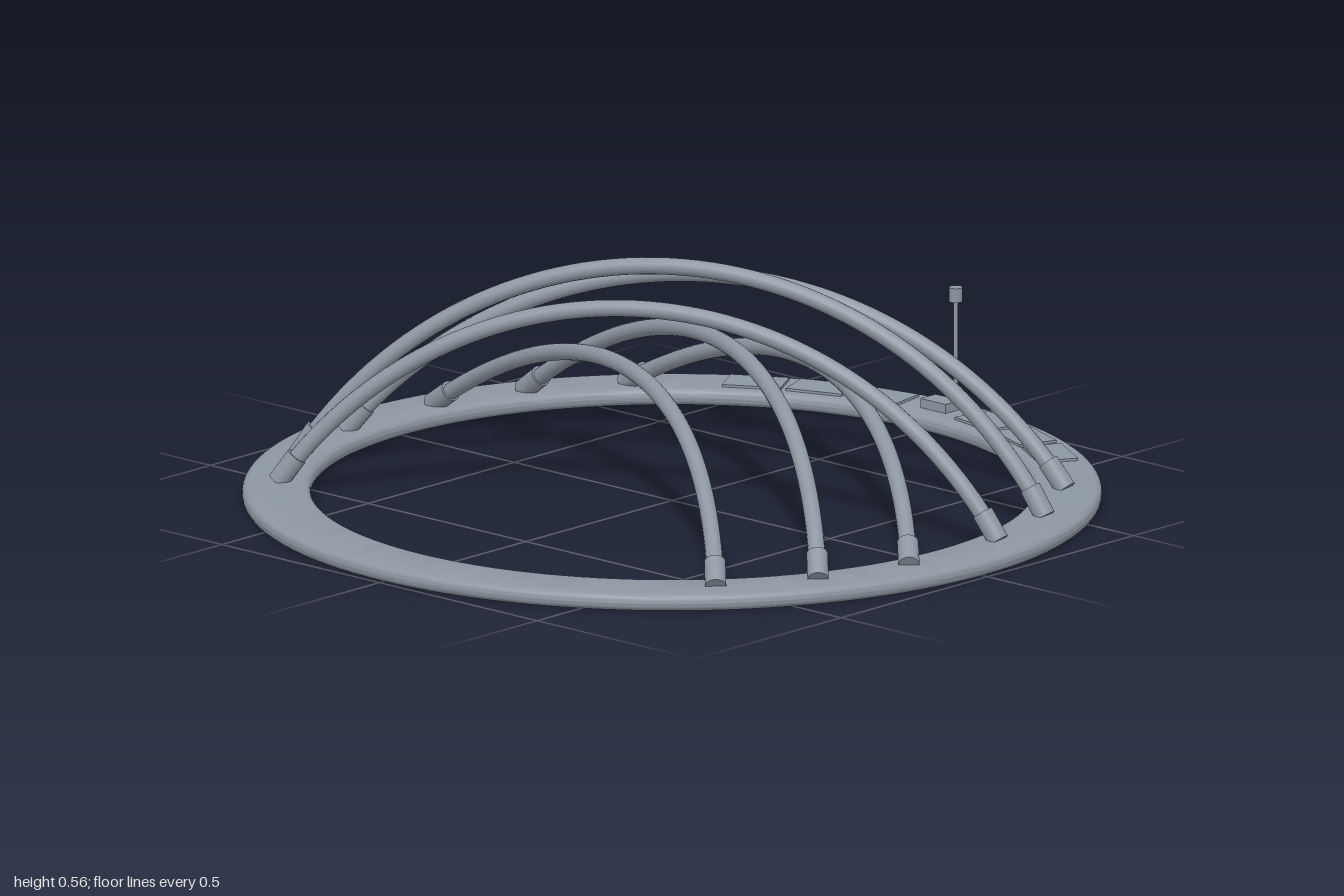
import * as THREE from 'three';
import { toCreasedNormals } from 'three/addons/utils/BufferGeometryUtils.js';

const RING_TOP = 0.04;

// Circular arch over the chord a -> b, its plane leaning towards -z
class LeaningArch extends THREE.Curve {
  constructor(a, b, rise, lean) {
    super();
    this.mid = a.clone().add(b).multiplyScalar(0.5);
    this.along = b.clone().sub(a).normalize();
    this.half = a.distanceTo(b) / 2;
    const side = new THREE.Vector3(this.along.z, 0, -this.along.x);
    if (side.z > 0) side.negate();
    this.up = side.multiplyScalar(lean).add(new THREE.Vector3(0, rise, 0));
    this.height = this.up.length();
    this.up.normalize();
    this.radius = (this.half ** 2 + this.height ** 2) / (2 * this.height);
    this.sweep = Math.asin(this.half / this.radius);
  }
  getPoint(t, target = new THREE.Vector3()) {
    const angle = (2 * t - 1) * this.sweep;
    return target.copy(this.mid)
      .addScaledVector(this.along, this.radius * Math.sin(angle))
      .addScaledVector(this.up, this.radius * Math.cos(angle) - this.radius + this.height);
  }
}

export function createModel() {
  const model = new THREE.Group();
  const metal = new THREE.MeshStandardMaterial({ color: 0x8d97a2 });
  metal.name = 'blue grey metal';

  const add = (name, geometry, x = 0, y = 0, z = 0, parent = model) => {
    const mesh = new THREE.Mesh(geometry, metal);
    mesh.name = name;
    mesh.position.set(x, y, z);
    parent.add(mesh);
    return mesh;
  };

  // Flat base ring with rounded rims
  const profile = [];
  const rim = 0.018;
  const corners = [[1 - rim, rim, -0.5], [1 - rim, RING_TOP - rim, 0],
    [0.84 + rim, RING_TOP - rim, 0.5], [0.84 + rim, rim, 1]];
  for (const [x, y, start] of corners) {
    for (let i = 0; i <= 5; i++) {
      const angle = (start + i / 10) * Math.PI;
      profile.push(new THREE.Vector2(x + rim * Math.cos(angle), y + rim * Math.sin(angle)));
    }
  }
  profile.push(profile[0].clone());
  add('baseRing', toCreasedNormals(new THREE.LatheGeometry(profile, 128), 0.5));

  // Two crossing families of three arches, each with a sleeve at both feet
  const feet = [[[0.69, -0.595], [-0.89, 0.15]], [[0.82, -0.385], [-0.82, 0.385]],
    [[0.89, -0.15], [-0.69, 0.595]]];
  const families = [
    { name: 'highArch', mirror: 1, tops: [0.48, 0.56, 0.52], lean: 0.085 },
    { name: 'lowArch', mirror: -1, tops: [0.3, 0.38, 0.345], lean: 0.14 },
  ];
  const tubeRadius = 0.02, footHeight = 0.045;
  for (const { name, mirror, tops, lean } of families) {
    feet.forEach((pair, i) => {
      const [a, b] = pair.map(([x, z]) => new THREE.Vector3(mirror * x, footHeight, z));
      const curve = new LeaningArch(a, b, tops[i] - tubeRadius - footHeight, lean);
      const arch = new THREE.Group();
      arch.name = `${name}${i + 1}`;
      model.add(arch);
      add('archTube', new THREE.TubeGeometry(curve, 64, tubeRadius, 16), 0, 0, 0, arch);
      for (const t of [0, 1]) {
        const inward = curve.getTangent(t).multiplyScalar(t ? -1 : 1);
        const centre = curve.getPoint(t).addScaledVector(inward, 0.028);
        const sleeve = add('footSleeve', new THREE.CylinderGeometry(0.025, 0.025, 0.075, 20),
          ...centre, arch);
        sleeve.quaternion.setFromUnitVectors(new THREE.Vector3(0, 1, 0), inward);
      }
    });
  }

  // Thin panels on the back of the ring, three on each side
  for (const side of [-1, 1]) {
    for (const degrees of [10.6, 20.6, 30.6]) {
      const angle = side * THREE.MathUtils.degToRad(degrees);
      const panel = add('ringPanel', new THREE.BoxGeometry(0.14, 0.006, 0.095),
        0.917 * Math.sin(angle), RING_TOP + 0.003, -0.917 * Math.cos(angle));
      panel.rotation.y = -angle;
    }
  }

  // Control box and sensor mast at the back
  add('controlBox', new THREE.BoxGeometry(0.08, 0.024, 0.052), 0, RING_TOP + 0.01, -0.918);
  add('mastPole', new THREE.CylinderGeometry(0.005, 0.005, 0.26, 12), 0, 0.165, -0.97);
  add('mastHead', new THREE.CylinderGeometry(0.016, 0.016, 0.034, 20), 0, 0.305, -0.97);

  return model;
}
